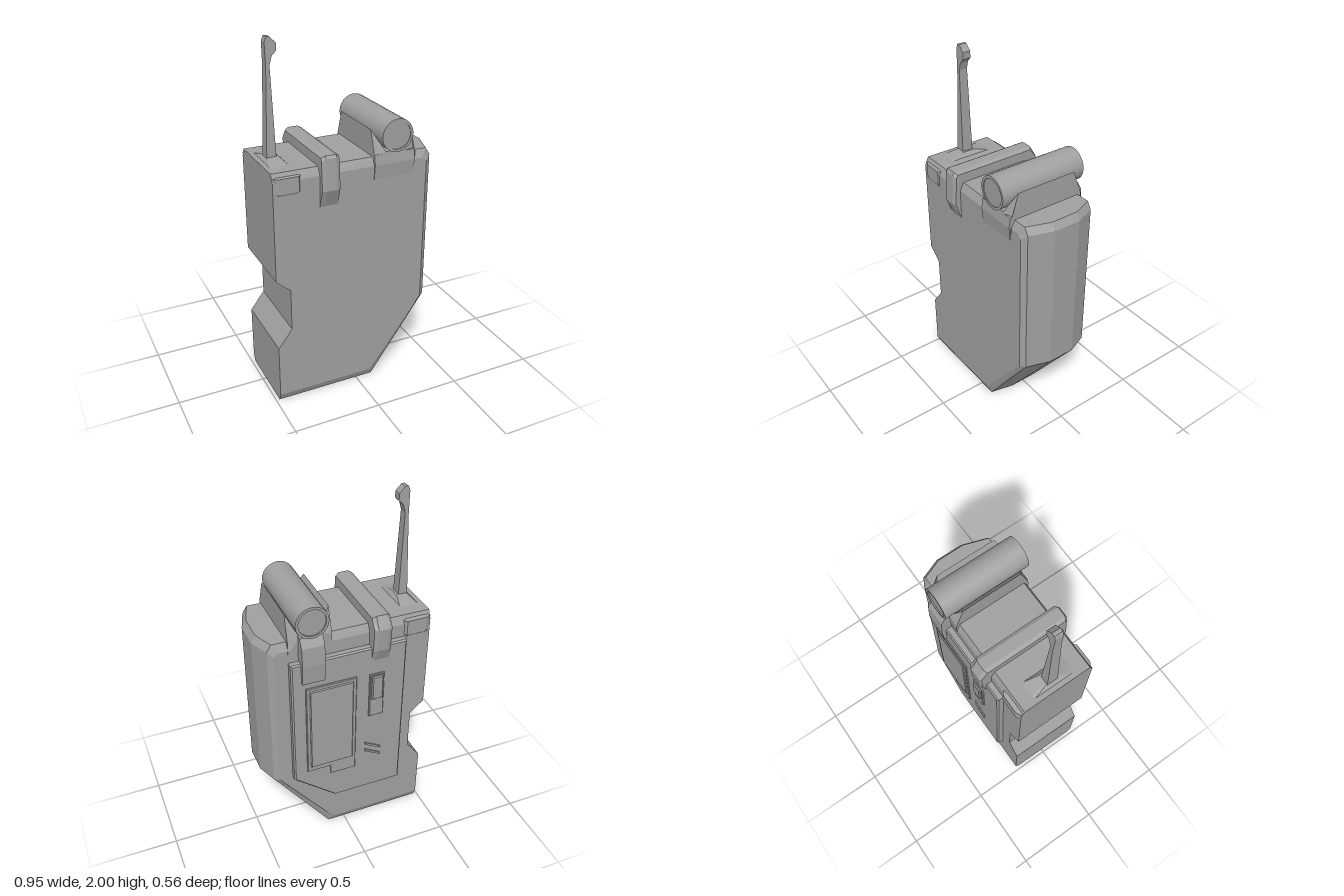
import * as THREE from 'three';
import { toCreasedNormals } from 'three/addons/utils/BufferGeometryUtils.js';

// Places layer coordinates (a, b) at height h along the chosen axis
const place = {
  x: (a, b, h) => [h, a, b],
  y: (a, b, h) => [b, h, a],
  z: (a, b, h) => [a, b, h],
};

// Closed solid through matching outlines, ordered by rising height: [[h, points], ...]
function loft(axis, layers) {
  const flip = THREE.ShapeUtils.isClockWise(layers[0][1].map(p => new THREE.Vector2(...p)));
  const rings = layers.map(([h, pts]) => {
    const ring = flip ? [...pts].reverse() : pts;
    return { flat: ring.map(p => new THREE.Vector2(...p)), pos: ring.map(([a, b]) => place[axis](a, b, h)) };
  });
  const out = [];
  const n = rings[0].pos.length;
  for (let k = 0; k < rings.length - 1; k++) {
    const lo = rings[k].pos, hi = rings[k + 1].pos;
    for (let i = 0; i < n; i++) {
      const j = (i + 1) % n;
      out.push(...lo[i], ...lo[j], ...hi[j], ...lo[i], ...hi[j], ...hi[i]);
    }
  }
  const first = rings[0], last = rings[rings.length - 1];
  for (const [a, b, c] of THREE.ShapeUtils.triangulateShape(first.flat, [])) out.push(...first.pos[a], ...first.pos[c], ...first.pos[b]);
  for (const [a, b, c] of THREE.ShapeUtils.triangulateShape(last.flat, [])) out.push(...last.pos[a], ...last.pos[b], ...last.pos[c]);
  const g = new THREE.BufferGeometry();
  g.setAttribute('position', new THREE.Float32BufferAttribute(out, 3));
  g.computeVertexNormals();
  return g;
}

// Shrinks an outline towards the middle of its bounds by distance d
function inset(pts, d) {
  const range = i => [Math.min(...pts.map(p => p[i])), Math.max(...pts.map(p => p[i]))];
  const r = [range(0), range(1)];
  return pts.map(p => p.map((v, i) => {
    const mid = (r[i][0] + r[i][1]) / 2, half = (r[i][1] - r[i][0]) / 2;
    return mid + (v - mid) * (half - d) / half;
  }));
}

const rect = (a0, a1, b0, b1) => [[a0, b0], [a1, b0], [a1, b1], [a0, b1]];

export function createModel() {
  const group = new THREE.Group();
  const grey = new THREE.MeshStandardMaterial({ color: 0xa0a0a0 });
  grey.name = 'grey casing';
  const add = (name, geometry) => {
    const mesh = new THREE.Mesh(geometry, grey);
    mesh.name = name;
    group.add(mesh);
    return mesh;
  };

  // Raised plate on the back with a bevelled rim
  const backPlate = (name, pts, z0, z1, bevel) =>
    add(name, loft('z', [[z1, inset(pts, bevel)], [z1 + bevel, pts], [z0, pts]]));

  // Casing: side outline with grip notch, rounded over on the right by layers
  const outline = (right, foot, bottom, top, lip) => [
    [-0.48, bottom], [foot, bottom], [right, 0.465], [right, top - lip], [right - 0.025, top],
    [-0.48, top], [-0.48, 0.77], [-0.4, 0.7], [-0.4, 0.46], [-0.48, 0.355],
  ];
  const face = outline(0.4, 0.08, 0.045, 1.325, 0.02);
  const shoulder = outline(0.43, 0.1, 0, 1.37, 0.04);
  const rim = outline(0.475, 0.13, 0, 1.37, 0.04);
  add('casing', loft('z', [
    [-0.208, face], [-0.188, shoulder], [-0.075, rim], [0.08, rim], [0.215, shoulder], [0.236, face],
  ]));

  // Corner cap that slopes up to the antenna
  const capRing = [
    [0.225, -0.48], [0.242, -0.45], [0.242, -0.34], [0.225, -0.325],
    [-0.205, -0.325], [-0.22, -0.34], [-0.22, -0.45], [-0.205, -0.48],
  ];
  const capTop = [
    [0.045, -0.43], [0.05, -0.425], [0.05, -0.375], [0.045, -0.37],
    [-0.02, -0.37], [-0.025, -0.375], [-0.025, -0.425], [-0.02, -0.43],
  ];
  add('antennaCap', loft('y', [[1.25, inset(capRing, 0.006)], [1.262, capRing], [1.345, capRing], [1.39, capTop]]));

  // Antenna: flat blade with hooked tip, thicker at its base
  const blade = [
    [-0.435, 1.38], [-0.382, 1.38], [-0.398, 1.86], [-0.385, 1.905], [-0.36, 1.93],
    [-0.36, 1.967], [-0.392, 2], [-0.41, 2], [-0.42, 1.975], [-0.418, 1.85],
  ];
  const antenna = loft('z', [[-0.5, blade], [0.5, blade]]);
  const pos = antenna.attributes.position;
  for (let i = 0; i < pos.count; i++) {
    const t = (pos.getY(i) - 1.38) / 0.62;
    pos.setZ(i, 0.014 + pos.getZ(i) * (0.064 - 0.02 * t));
  }
  antenna.computeVertexNormals();
  add('antenna', antenna);

  // Strap clip over the top, as (y, z) outline with bevelled sides
  const strap = [
    [1.15, 0.235], [1.25, 0.278], [1.42, 0.268], [1.435, 0.258],
    [1.435, -0.24], [1.37, -0.279], [1.24, -0.272], [1.14, -0.235], [1.14, -0.2], [1.35, -0.19], [1.35, 0.21],
  ];
  const strapEdge = strap.map(([y, z], i) => (i > 0 && i < 7 ? [y - (i > 1 && i < 5 ? 0.012 : 0), z * 0.96] : [y, z]));
  add('strapClip', loft('x', [[-0.225, strapEdge], [-0.205, strap], [-0.145, strap], [-0.125, strapEdge]]));

  // Cradle with two prongs leaning in at both ends
  const cradle = [
    [0.085, 1.3], [0.325, 1.3], [0.325, 1.37], [0.32, 1.51], [0.262, 1.395], [0.15, 1.395], [0.085, 1.51], [0.085, 1.37],
  ];
  const cradleGeometry = loft('z', [[-0.21, cradle], [0.238, cradle]]);
  const cp = cradleGeometry.attributes.position;
  for (let i = 0; i < cp.count; i++) {
    if (cp.getY(i) > 1.45) cp.setZ(i, cp.getZ(i) > 0 ? 0.19 : -0.16);
  }
  cradleGeometry.computeVertexNormals();
  add('cradle', cradleGeometry);
  add('cradleFrontLip', loft('x', [0.085, 0.32].map(x => [x, [[1.25, 0.23], [1.25, 0.238], [1.33, 0.246], [1.385, 0.238], [1.385, 0.2], [1.3, 0.2]]])));
  add('cradleBackClip', loft('x', [0.145, 0.27].map(x => [x, [[1.13, -0.2], [1.13, -0.26], [1.24, -0.268], [1.35, -0.262], [1.4, -0.235], [1.4, -0.18]]])));

  // Tube resting in the cradle, with shallow recessed ends
  const tubeProfile = [[0, -0.24], [0.075, -0.24], [0.075, -0.247], [0.09, -0.247], [0.09, 0.264], [0.075, 0.264], [0.075, 0.26], [0, 0.26]];
  const tube = toCreasedNormals(new THREE.LatheGeometry(tubeProfile.map(p => new THREE.Vector2(...p)), 24), 0.6);
  tube.rotateX(Math.PI / 2);
  add('tube', tube).position.set(0.205, 1.483, 0);

  // Back panel and its fittings
  backPlate('backPanel', [[-0.33, 0.26], [0.08, 0.26], [0.325, 0.465], [0.325, 1.25], [-0.33, 1.25]], -0.2, -0.245, 0.008);
  const hatch = [[-0.04, 0.45], [0.11, 0.45], [0.11, 0.51], [0.25, 0.51], [0.25, 1.09], [-0.04, 1.09]];
  backPlate('hatch', hatch, -0.24, -0.254, 0.004);
  backPlate('hatchCover', rect(-0.02, 0.23, 0.54, 1.07), -0.25, -0.26, 0.005);
  backPlate('switchPlate', rect(-0.2, -0.115, 0.8, 1.08), -0.24, -0.256, 0.004);
  backPlate('switchButton', rect(-0.19, -0.125, 0.92, 1.07), -0.25, -0.268, 0.006);

  // Two slanted ribs
  for (const y of [0.52, 0.57]) {
    backPlate('slantedRib', [[-0.195, y - 0.03], [-0.1, y + 0.025], [-0.1, y + 0.04], [-0.195, y - 0.015]], -0.24, -0.252, 0.003);
  }
  return group;
}
